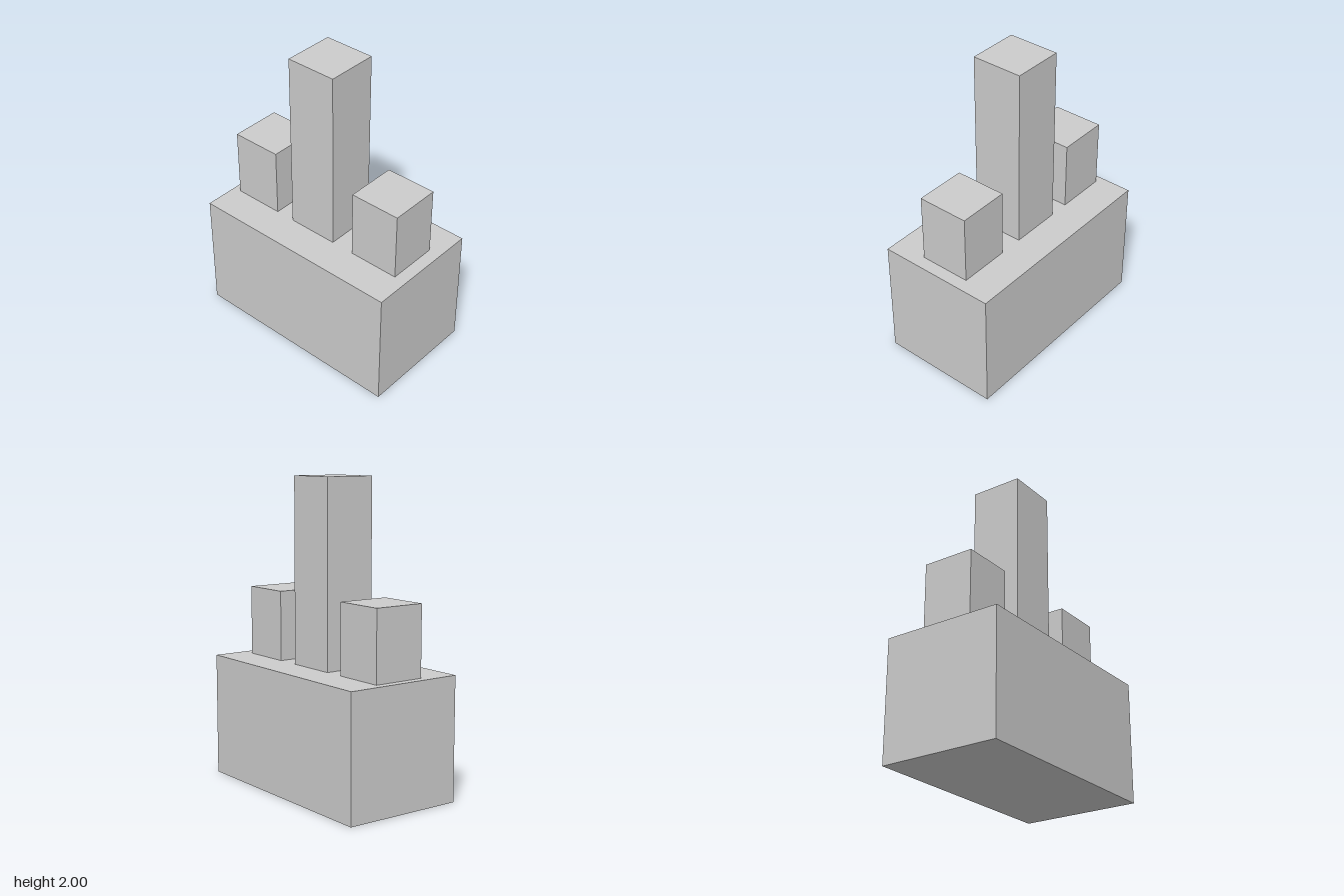
import * as THREE from 'three';

const material = new THREE.MeshStandardMaterial({ color: 0xcccccc, flatShading: true });

// Box standing on the given height
function block(name, width, depth, bottom, top, x = 0, z = 0) {
  const mesh = new THREE.Mesh(new THREE.BoxGeometry(width, top - bottom, depth), material);
  mesh.name = name;
  mesh.position.set(x, (bottom + top) / 2, z);
  return mesh;
}

export function createModel() {
  const group = new THREE.Group();
  group.name = 'blockWithPosts';
  const baseTop = 0.803;
  const postSize = 0.345;

  // Solid base
  group.add(block('base', 1.466, 0.804, 0, baseTop));

  // Tall centre post between two short ones, slightly off centre
  const posts = [
    ['rightPost', -0.507, 1.257],
    ['centrePost', -0.028, 2],
    ['leftPost', 0.475, 1.257],
  ];
  for (const [name, x, top] of posts) {
    group.add(block(name, postSize, postSize, baseTop, top, x, -0.002));
  }
  return group;
}
